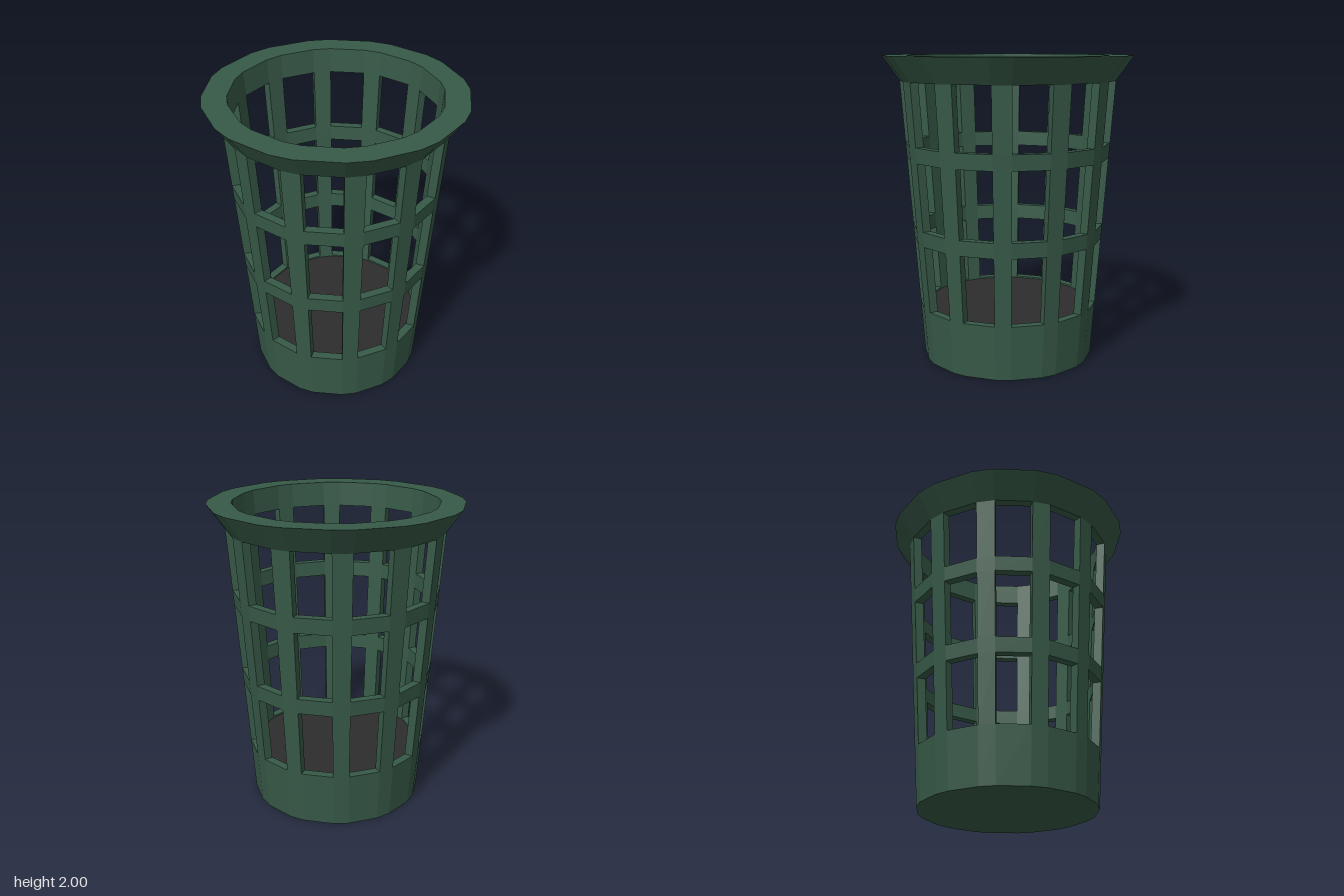
import * as THREE from 'three';

const RAD = Math.PI / 180;
const WALL = 0.055;

// 24 corners: wide 20 degree faces hold the windows, narrow 10 degree faces the slats
const corners = [];
for (let k = 0; k <= 12; k++) corners.push((30 * k - 10) * RAD, (30 * k + 10) * RAD);
const loop = corners.slice(0, 25);

// Distance of the tapered wall's wide faces from the axis
const outer = (y) => 0.56 + 0.0707 * y;
const inner = (y) => outer(y) - WALL;

// Sweeps an [apothem, y] profile (anticlockwise) through a list of angles, with flat faces
function sweep(profile, angles, closed, capped) {
  const pos = [];
  const point = ([d, y], a) => {
    const r = d / Math.cos(10 * RAD);
    return [r * Math.sin(a), y, r * Math.cos(a)];
  };
  const quad = (a, b, c, d) => pos.push(...a, ...b, ...c, ...a, ...c, ...d);
  const n = profile.length;
  for (let j = 0; j < angles.length - 1; j++) {
    const a = angles[j], b = angles[j + 1];
    for (let i = 0; i < (closed ? n : n - 1); i++) {
      const p = profile[i], q = profile[(i + 1) % n];
      quad(point(p, a), point(p, b), point(q, b), point(q, a));
    }
  }
  if (capped) {
    const end = angles[angles.length - 1];
    quad(...profile.map((p) => point(p, angles[0])));
    quad(...[...profile].reverse().map((p) => point(p, end)));
  }
  const g = new THREE.BufferGeometry();
  g.setAttribute('position', new THREE.Float32BufferAttribute(pos, 3));
  g.computeVertexNormals();
  return g;
}

// Cross-section of the wall between two heights
const wall = (y0, y1) => [[inner(y0), y0], [outer(y0), y0], [outer(y1), y1], [inner(y1), y1]];

export function createModel() {
  const model = new THREE.Group();
  const green = new THREE.MeshStandardMaterial({ color: 0x375a48 });
  green.name = 'dark green';
  const dark = new THREE.MeshStandardMaterial({ color: 0x2e2d2e });
  dark.name = 'charcoal';

  const add = (name, geometry, material, parent = model) => {
    const mesh = new THREE.Mesh(geometry, material);
    mesh.name = name;
    parent.add(mesh);
  };

  // Closed base with its low solid wall
  add('base', sweep([[0, 0], [outer(0), 0], [outer(0.36), 0.36], [inner(0.36), 0.36],
    [inner(0.34), 0.34]], loop), green);
  // Dark floor inside the base
  add('floor', sweep([[inner(0.35), 0.35], [0, 0.35]], loop), dark);

  // Two horizontal hoops
  add('lowerHoop', sweep(wall(0.8, 0.9), loop, true), green);
  add('upperHoop', sweep(wall(1.34, 1.44), loop, true), green);

  // Flared rim
  add('rim', sweep([[inner(1.84), 1.84], [outer(1.84), 1.84], [0.8, 2], [inner(2), 2]],
    loop, true), green);

  // Upright slats between the base, hoops and rim
  const slats = new THREE.Group();
  slats.name = 'slats';
  model.add(slats);
  for (let k = 0; k < 12; k++) {
    const span = [corners[2 * k + 1], corners[2 * k + 2]];
    for (const [y0, y1] of [[0.36, 0.8], [0.9, 1.34], [1.44, 1.84]]) {
      add('slat', sweep(wall(y0, y1), span, true, true), green, slats);
    }
  }
  return model;
}
